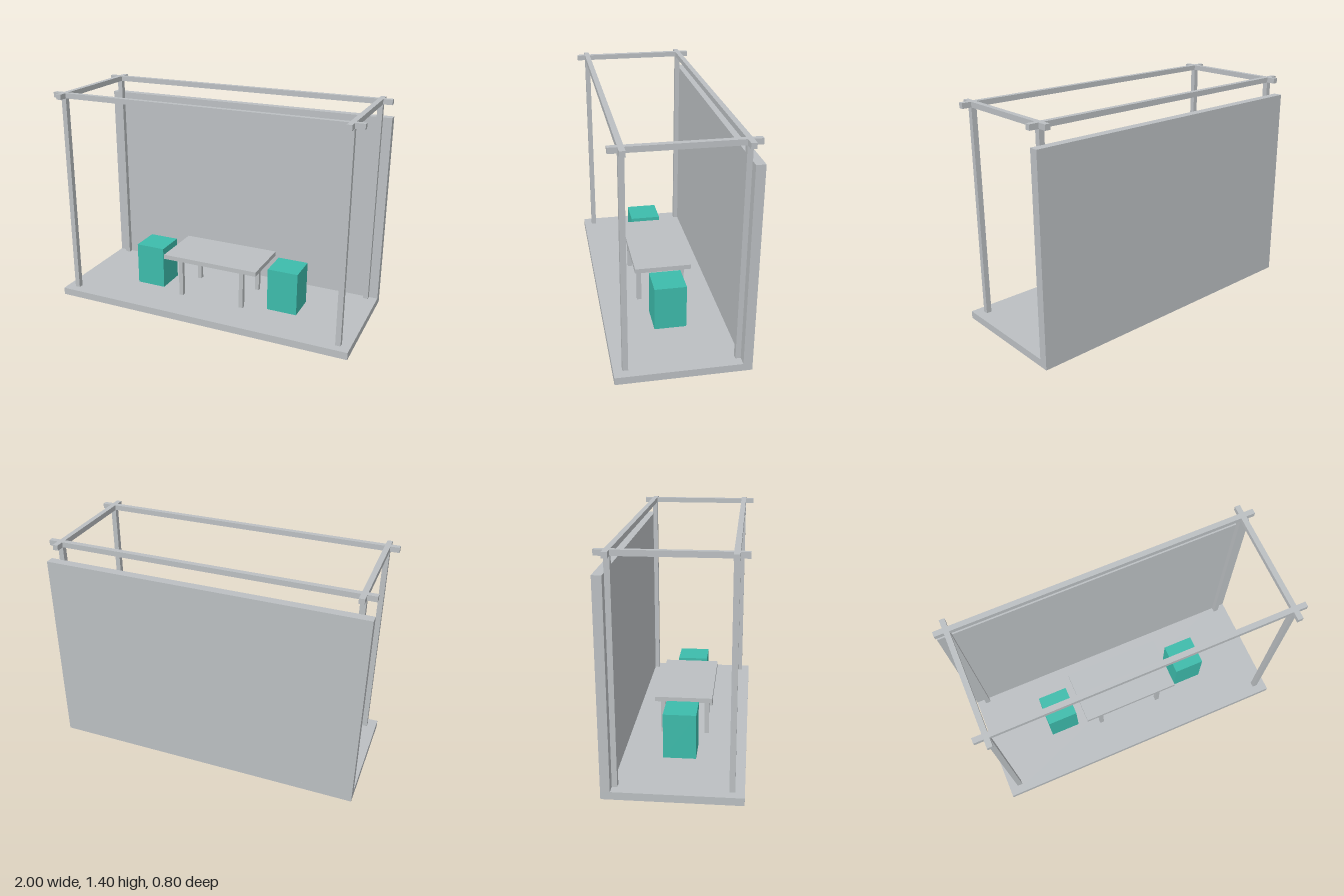
import * as THREE from 'three';

export function createModel() {
  const model = new THREE.Group();
  model.name = 'diningBooth';

  const grey = new THREE.MeshStandardMaterial({ color: 0xbbbfc2 });
  grey.name = 'light grey';
  const teal = new THREE.MeshStandardMaterial({ color: 0x3dbbab });
  teal.name = 'teal';

  // Box from its centre in x and z, its bottom and top in y, and its width and depth
  function box(parent, name, material, x, z, bottom, top, width, depth) {
    const mesh = new THREE.Mesh(new THREE.BoxGeometry(width, top - bottom, depth), material);
    mesh.position.set(x, (bottom + top) / 2, z);
    mesh.name = name;
    parent.add(mesh);
  }

  function group(name) {
    const g = new THREE.Group();
    g.name = name;
    model.add(g);
    return g;
  }

  const floorTop = 0.047;
  const height = 1.4;
  const bar = 0.033;
  const beamBottom = height - bar;
  const postX = 0.926;
  const postZ = 0.33;

  // Floor slab and back wall
  box(model, 'floor', grey, 0, 0, 0, floorTop, 2, 0.8);
  box(model, 'backWall', grey, 0, -0.3725, floorTop, 1.28, 2, 0.055);

  // Open frame: four posts carrying crossing beams
  const frame = group('frame');
  for (const s of [-1, 1]) {
    for (const t of [-1, 1]) {
      box(frame, 'post', grey, s * postX, t * postZ, floorTop, beamBottom, bar, bar);
    }
    box(frame, 'longBeam', grey, 0, s * postZ, beamBottom, height, 2, bar);
    box(frame, 'crossBeam', grey, s * postX, 0, beamBottom, height, bar, 0.8);
  }

  // Table
  const table = group('table');
  box(table, 'tableTop', grey, 0, 0, 0.303, 0.333, 0.657, 0.36);
  for (const s of [-1, 1]) {
    for (const t of [-1, 1]) {
      box(table, 'tableLeg', grey, s * 0.218, t * 0.141, floorTop, 0.303, 0.028, 0.028);
    }
  }

  // Block stools at each end of the table
  for (const s of [-1, 1]) {
    box(model, s > 0 ? 'leftStool' : 'rightStool', teal, s * 0.48, 0, floorTop, 0.331, 0.2, 0.2);
  }

  return model;
}
